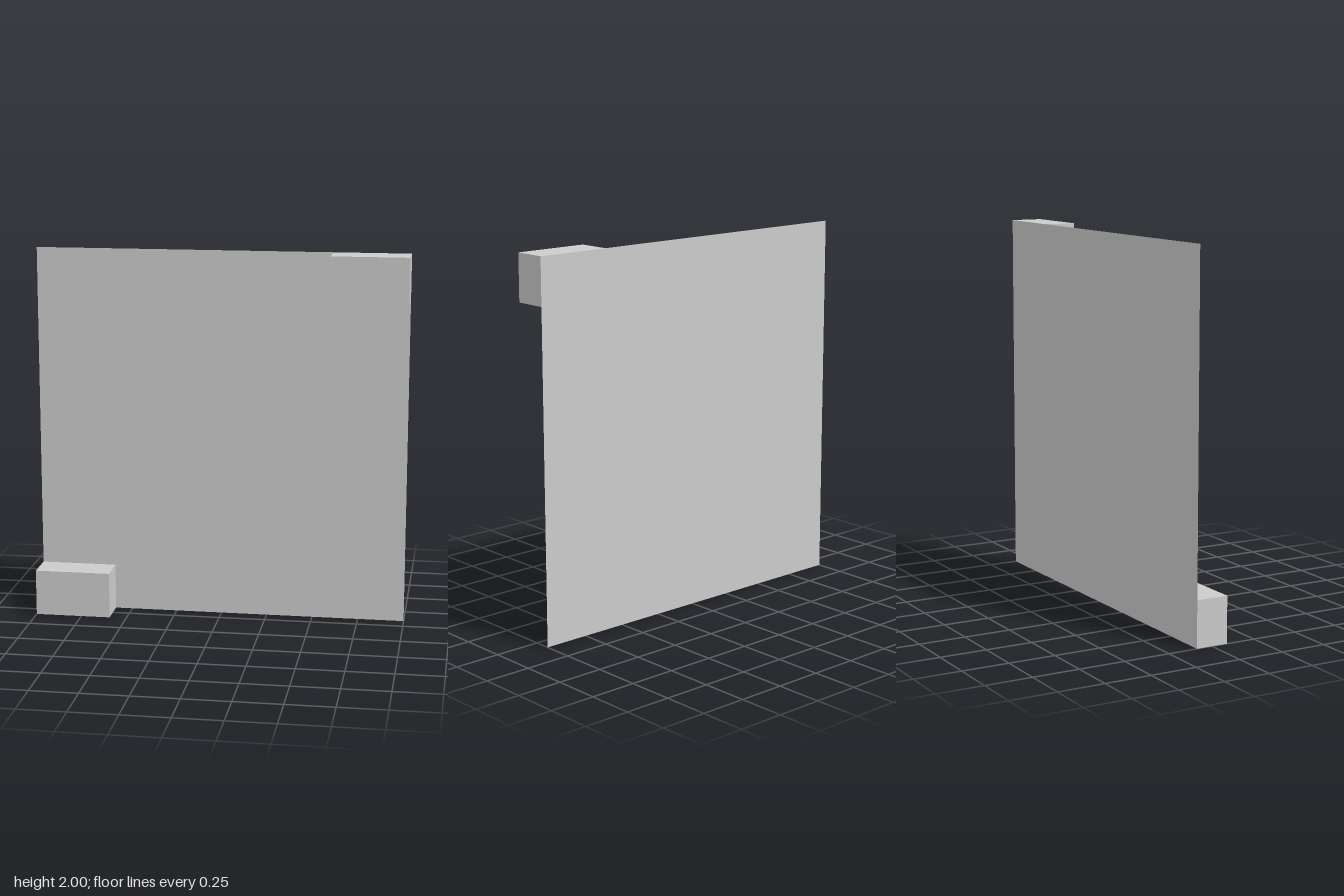
import * as THREE from 'three';

const DEPTH = 0.176, BLOCK_W = 0.408, BLOCK_H = 0.248;

export function createModel() {
  const model = new THREE.Group();
  const material = new THREE.MeshStandardMaterial({ color: 0xcccccc, flatShading: true });
  const sheetMaterial = material.clone();
  sheetMaterial.side = THREE.DoubleSide;

  // Thin square sheet at the back
  const panel = new THREE.Mesh(new THREE.PlaneGeometry(2, 2), sheetMaterial);
  panel.name = 'backPanel';
  panel.position.set(0, 1, -DEPTH / 2);
  model.add(panel);

  // Blocks in opposite corners, standing forward of the sheet
  const blockGeometry = new THREE.BoxGeometry(BLOCK_W, BLOCK_H, DEPTH);
  for (const [name, side] of [['upperLeftBlock', 1], ['lowerRightBlock', -1]]) {
    const block = new THREE.Mesh(blockGeometry, material);
    block.name = name;
    block.position.set(side * (1 - BLOCK_W / 2), 1 + side * (1 - BLOCK_H / 2), 0);
    model.add(block);
  }
  return model;
}
